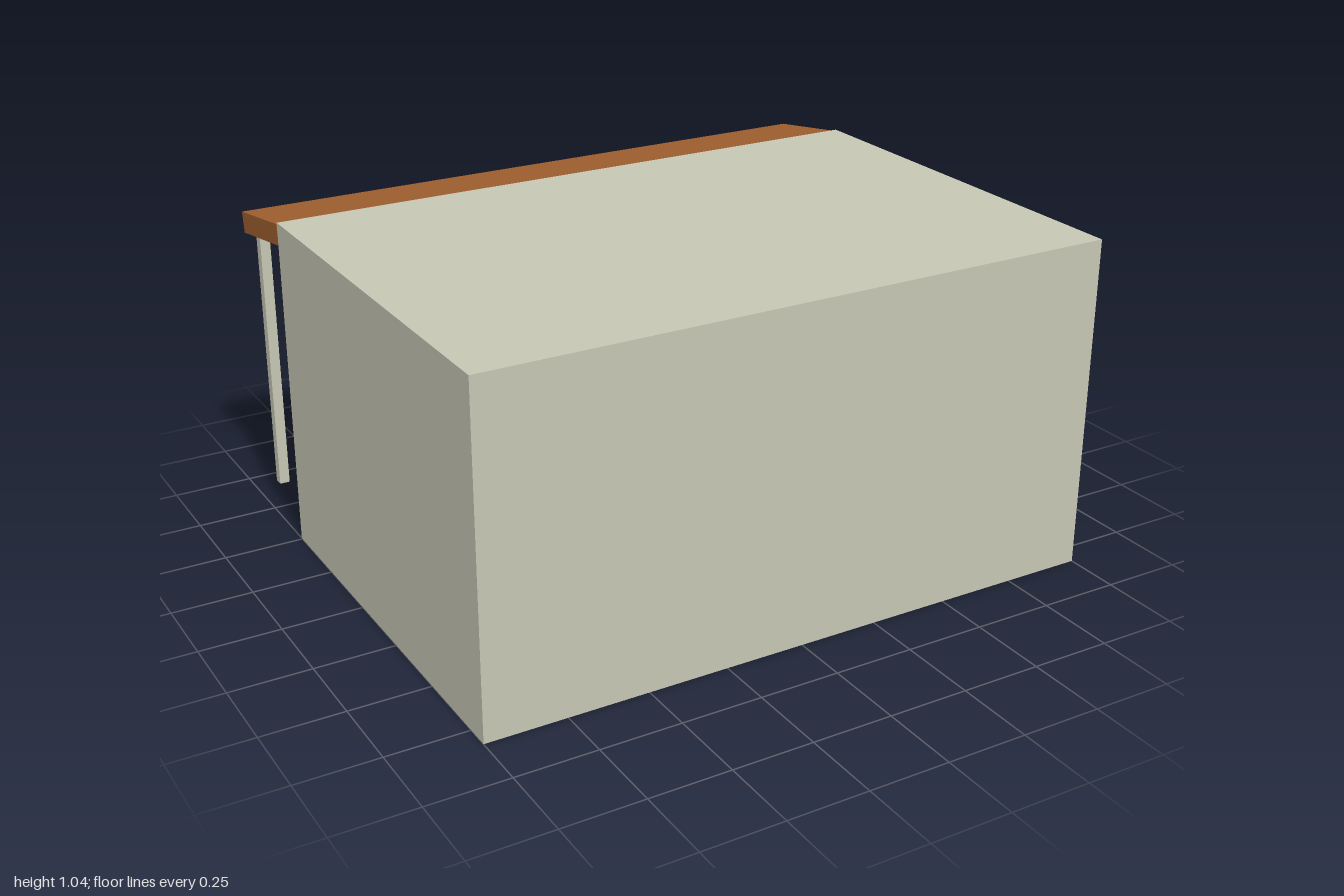
import * as THREE from 'three';

export function createModel() {
  const model = new THREE.Group();
  model.name = 'house';

  const wallPaint = new THREE.MeshStandardMaterial({ color: 0xc6c6b4 });
  wallPaint.name = 'pale stone';
  const wood = new THREE.MeshStandardMaterial({ color: 0xa05f2f });
  wood.name = 'brown wood';

  function box(name, size, position, material) {
    const mesh = new THREE.Mesh(new THREE.BoxGeometry(...size), material);
    mesh.name = name;
    mesh.position.set(...position);
    model.add(mesh);
    return mesh;
  }

  // Main block
  box('houseBody', [2, 1.045, 1.332], [0, 0.5225, 0.16], wallPaint);

  // Door raised from the back wall
  box('door', [0.34, 0.495, 0.068], [0, 0.4025, -0.539], wood);

  // Porch roof, sloping down away from the wall
  const roof = box('porchRoof', [2, 0.066, 0.32], [0, 0.981, -0.665], wood);
  roof.rotation.x = -0.16;

  // Porch posts, ending inside the roof
  for (const [name, side] of [['leftPost', 1], ['rightPost', -1]]) {
    box(name, [0.032, 0.874, 0.032], [side * 0.95, 0.503, -0.796], wallPaint);
  }

  return model;
}
